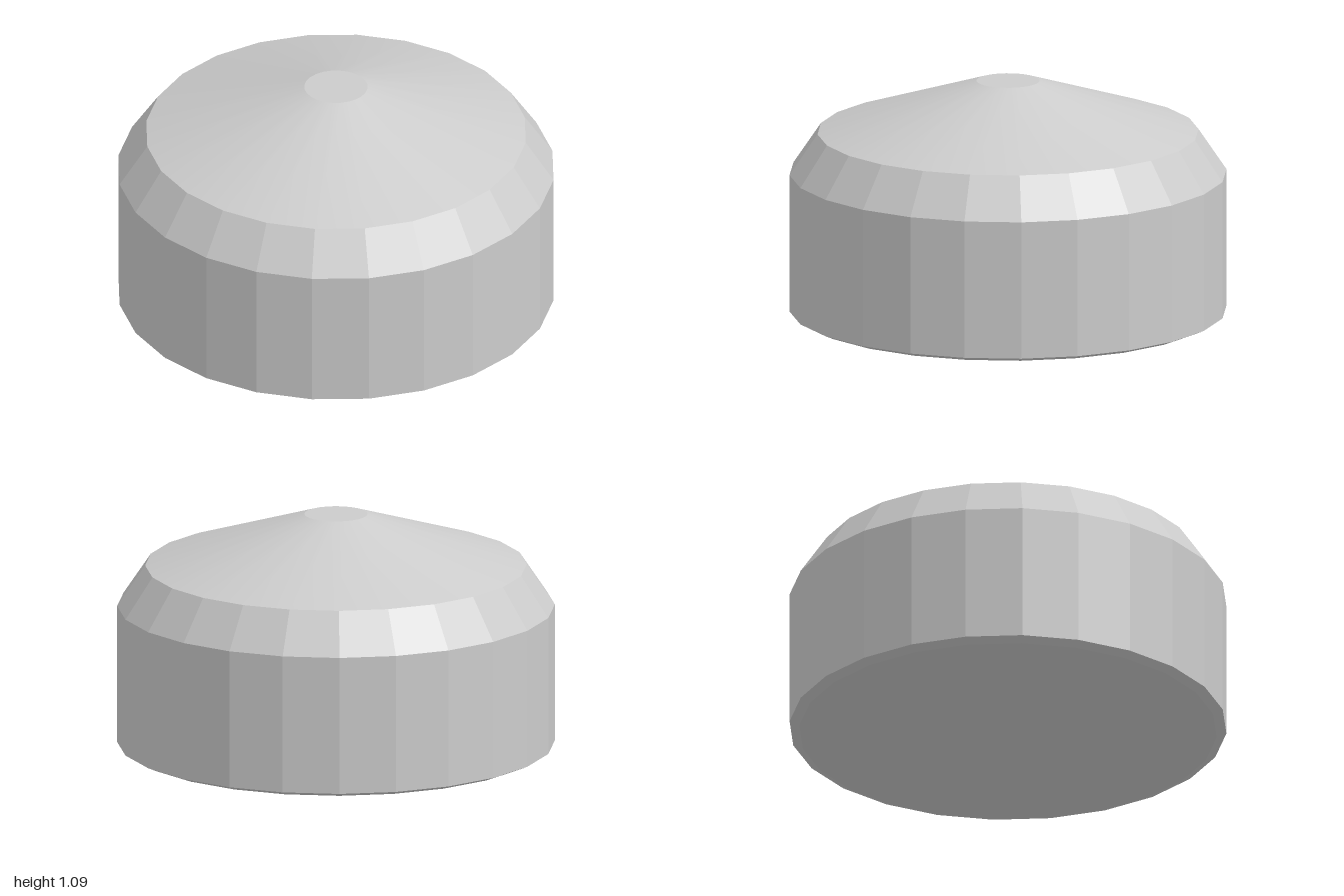
import * as THREE from 'three';

const SIDES = 24;
const START = THREE.MathUtils.degToRad(5);

export function createModel() {
  const model = new THREE.Group();
  model.name = 'domedCap';
  const flat = new THREE.MeshStandardMaterial({ color: 0xcccccc, flatShading: true });
  const smooth = new THREE.MeshStandardMaterial({ color: 0xcccccc });

  const add = (name, geometry, material) => {
    const mesh = new THREE.Mesh(geometry, material);
    mesh.name = name;
    model.add(mesh);
    return mesh;
  };

  // Open ring between two radii and heights
  const ring = (name, r0, y0, r1, y1, material) => {
    const g = new THREE.CylinderGeometry(r1, r0, y1 - y0, SIDES, 1, true, START);
    add(name, g.translate(0, (y0 + y1) / 2, 0), material);
  };

  // Flat disc whose corners line up with the rings
  const disc = (name, r, y, up) => {
    const g = new THREE.CircleGeometry(r, SIDES, START - Math.PI / 2);
    g.rotateX(-Math.PI / 2);
    if (!up) g.scale(1, -1, 1).rotateX(Math.PI).rotateY(2 * START);
    const mesh = add(name, g, up ? smooth : flat);
    mesh.position.y = y;
    return mesh;
  };

  // Faceted drum with a thin chamfer at the foot and a sloped shoulder
  ring('footChamfer', 0.955, 0, 1, 0.02, flat);
  ring('drumWall', 1, 0.02, 1, 0.66, flat);
  ring('shoulder', 1, 0.66, 0.872, 0.85, flat);

  // Shallow smooth cone with a small flat top
  ring('coneTop', 0.872, 0.85, 0.145, 1.09, smooth);
  disc('topCap', 0.145, 1.09, true);
  disc('base', 0.955, 0, false);
  return model;
}
